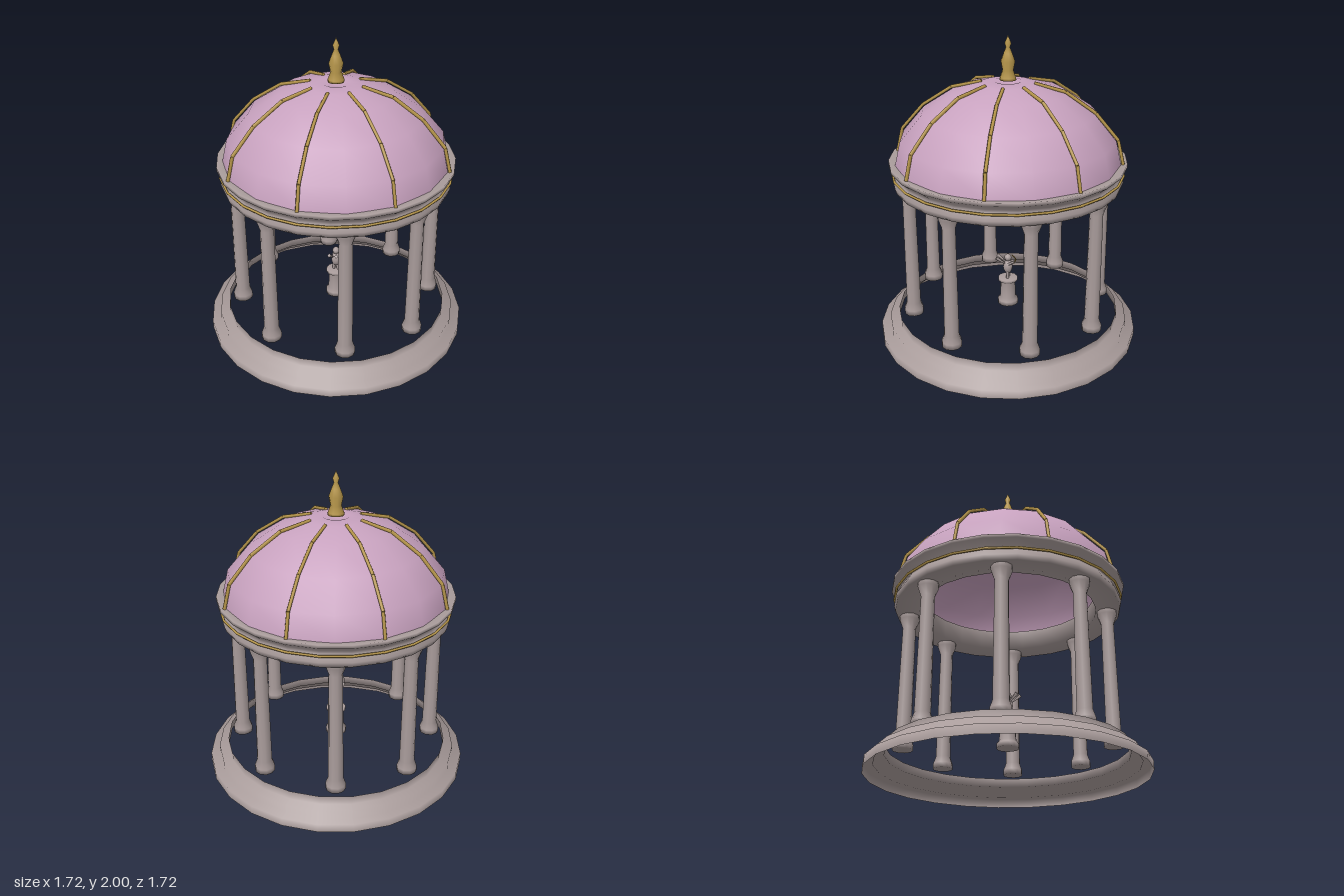
import * as THREE from 'three';

const stone = new THREE.MeshStandardMaterial({ color: 0xa99c9b, side: THREE.DoubleSide });
stone.name = 'stone';
const lilac = new THREE.MeshStandardMaterial({ color: 0xc8a2bf, side: THREE.DoubleSide });
lilac.name = 'lilac';
const gold = new THREE.MeshStandardMaterial({ color: 0xb5954a, side: THREE.DoubleSide });
gold.name = 'gold';

function add(parent, name, geometry, material, x = 0, y = 0, z = 0) {
  const mesh = new THREE.Mesh(geometry, material);
  mesh.name = name;
  mesh.position.set(x, y, z);
  parent.add(mesh);
  return mesh;
}

// Turned shape from [radius, height] pairs
function turned(points, sides) {
  return new THREE.LatheGeometry(points.map(([r, y]) => new THREE.Vector2(r, y)), sides);
}

// Straight rod (or cone) between two points
function rod(parent, name, a, b, r0, r1, material, sides = 6) {
  const from = new THREE.Vector3(...a), to = new THREE.Vector3(...b);
  const dir = to.clone().sub(from);
  const mesh = add(parent, name, new THREE.CylinderGeometry(r1, r0, dir.length(), sides), material);
  mesh.position.copy(from).add(to).multiplyScalar(0.5);
  mesh.quaternion.setFromUnitVectors(new THREE.Vector3(0, 1, 0), dir.normalize());
  return mesh;
}

// Small winged archer, facing the back
function createStatue() {
  const statue = new THREE.Group();
  statue.name = 'statue';
  add(statue, 'body', new THREE.SphereGeometry(0.032, 10, 8), stone, 0, 0.44, 0).scale.y = 1.5;
  add(statue, 'head', new THREE.SphereGeometry(0.025, 8, 6), stone, 0, 0.507, 0);
  for (const s of [-1, 1]) {
    rod(statue, 'leg', [s * 0.016, 0.36, 0], [s * 0.013, 0.41, 0], 0.01, 0.012, stone);
    rod(statue, 'arm', [s * 0.024, 0.465, -0.005], [s * 0.012, 0.485, -0.045], 0.008, 0.007, stone);
    rod(statue, 'wing', [s * 0.012, 0.462, 0.015], [s * 0.025, 0.507, 0.075], 0.004, 0.014, stone, 4);
  }
  const bow = new THREE.CatmullRomCurve3([
    new THREE.Vector3(-0.02, 0.455, -0.035),
    new THREE.Vector3(0.01, 0.503, -0.055),
    new THREE.Vector3(0.04, 0.548, -0.035),
  ]);
  add(statue, 'bow', new THREE.TubeGeometry(bow, 8, 0.004, 5), gold);
  return statue;
}

export function createModel() {
  const model = new THREE.Group();
  model.name = 'rotunda';

  // Three open step rings
  add(model, 'steps', turned([
    [0.86, 0], [0.86, 0.055], [0.80, 0.055], [0.80, 0.113], [0.737, 0.113], [0.737, 0.17],
  ], 24), stone);

  // Eight columns
  const columnShape = turned([
    [0, 0.17], [0.064, 0.17], [0.064, 0.205], [0.048, 0.25], [0.042, 0.98],
    [0.064, 1.04], [0.064, 1.07],
  ], 10);
  for (let i = 0; i < 8; i++) {
    const a = (i + 0.5) * Math.PI / 4;
    add(model, 'column', columnShape, stone, 0.64 * Math.cos(a), 0, 0.64 * Math.sin(a));
  }

  // Ring beam with flared cornice
  add(model, 'ringBeam', turned([
    [0.57, 1.2], [0.57, 1.067], [0.725, 1.067], [0.735, 1.10], [0.715, 1.14],
    [0.705, 1.16], [0.755, 1.20], [0.755, 1.222], [0.70, 1.215],
  ], 24), stone);
  const band = add(model, 'goldBand', new THREE.TorusGeometry(0.735, 0.008, 6, 24), gold, 0, 1.142, 0);
  band.rotation.x = Math.PI / 2;

  // Dome with a shallow dip under the finial
  add(model, 'dome', turned([
    [0.715, 1.215], [0.68, 1.365], [0.54, 1.53], [0.35, 1.655],
    [0.17, 1.705], [0.085, 1.718], [0.04, 1.70], [0, 1.70],
  ], 16), lilac);

  // Eight ribs following the dome
  const ribPath = [[0.728, 1.22], [0.69, 1.375], [0.547, 1.54], [0.358, 1.665], [0.165, 1.71]];
  for (let i = 0; i < 8; i++) {
    const rib = new THREE.Group();
    rib.name = 'rib';
    for (let k = 0; k < ribPath.length - 1; k++) {
      rod(rib, 'ribPiece', [...ribPath[k], 0], [...ribPath[k + 1], 0], 0.011, 0.011, gold);
    }
    rib.rotation.y = i * Math.PI / 4;
    model.add(rib);
  }

  // Finial
  add(model, 'finial', turned([
    [0, 1.725], [0.053, 1.725], [0.05, 1.74], [0.034, 1.785], [0.045, 1.84],
    [0.027, 1.89], [0.013, 1.925], [0.021, 1.95], [0, 2.0],
  ], 10), gold);

  // Pedestal and statue
  add(model, 'pedestal', turned([
    [0, 0.17], [0.069, 0.17], [0.069, 0.2], [0.052, 0.22], [0.05, 0.33],
    [0.066, 0.343], [0.066, 0.36], [0, 0.36],
  ], 12), stone);
  model.add(createStatue());

  return model;
}
